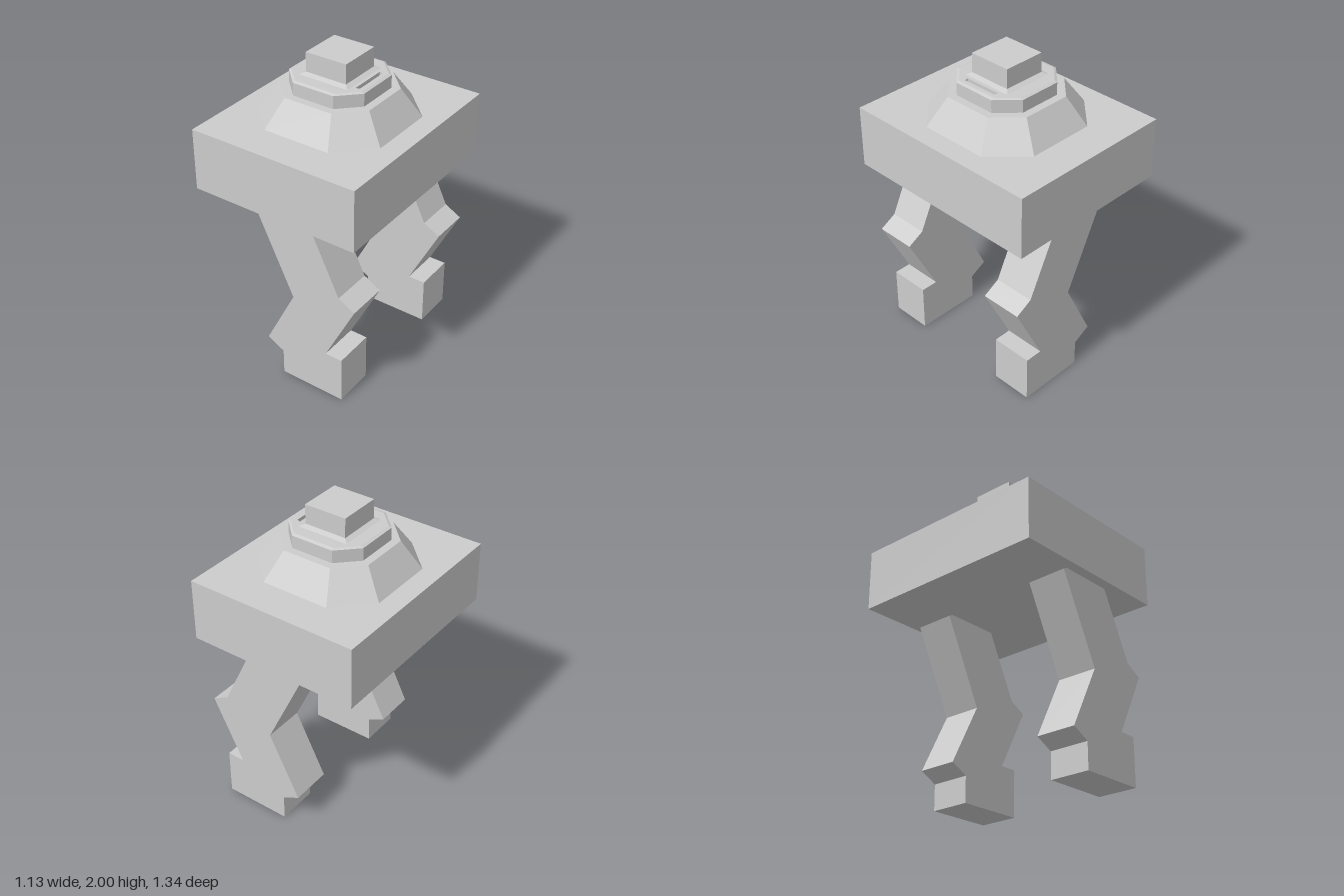
import * as THREE from 'three';

const grey = new THREE.MeshStandardMaterial({ color: 0xcccccc });
grey.name = 'plain grey';

// corners of an octagon: half width h, straight sides of half length c
const octagon = (h, c) => [[h, -c], [h, c], [c, h], [-c, h], [-h, c], [-h, -c], [-c, -h], [c, -h]];

// faceted solid through octagons given as [y, h, c], from the bottom up
function octagonLoft(levels, capped) {
  const p = [];
  const rings = levels.map(([y, h, c]) => octagon(h, c).map(([x, z]) => [x, y, z]));
  for (let i = 0; i < 8; i++) {
    const j = (i + 1) % 8;
    for (let k = 0; k < rings.length - 1; k++) {
      const [a, b, c, d] = [rings[k][i], rings[k][j], rings[k + 1][j], rings[k + 1][i]];
      p.push(...a, ...d, ...b, ...b, ...d, ...c);
    }
    const top = rings[rings.length - 1];
    if (capped) p.push(0, top[i][1], 0, ...top[j], ...top[i]);
  }
  const g = new THREE.BufferGeometry();
  g.setAttribute('position', new THREE.Float32BufferAttribute(p, 3));
  g.computeVertexNormals();
  return g;
}

const toShape = (pts) => new THREE.Shape(pts.map(([x, y]) => new THREE.Vector2(x, y)));

export function createModel() {
  const model = new THREE.Group();
  model.name = 'walker';
  const add = (name, geometry, x = 0, y = 0, z = 0) => {
    const mesh = new THREE.Mesh(geometry, grey);
    mesh.name = name;
    mesh.position.set(x, y, z);
    model.add(mesh);
    return mesh;
  };

  // body slab
  add('body', new THREE.BoxGeometry(1.13, 0.4, 1.336), 0, 1.4, 0);

  // bent legs with feet pointing to +x
  const leg = toShape([
    [-0.005, 0], [0.435, 0], [0.435, 0.31], [0.32, 0.31], [0.525, 0.715], [0.415, 0.775],
    [0.21, 1.2], [-0.15, 1.2], [-0.178, 1.185], [0.085, 0.635], [-0.12, 0.23], [-0.005, 0.17],
  ]);
  const legGeometry = new THREE.ExtrudeGeometry(leg, { depth: 0.266, bevelEnabled: false });
  add('frontLeg', legGeometry, 0, 0, 0.335);
  add('backLeg', legGeometry, 0, 0, -0.601);

  // turret: sloped base, collar with a chamfered rim
  add('turretBase', octagonLoft([[1.6, 0.433, 0.223], [1.775, 0.315, 0.163]], true));
  add('collar', octagonLoft([[1.775, 0.265, 0.14], [1.856, 0.265, 0.14], [1.863, 0.245, 0.14]], false));

  // collar lid with a slot cut on the +x side
  const lid = toShape(octagon(0.245, 0.14));
  lid.holes.push(new THREE.Path([[0.193, -0.123], [0.218, -0.115], [0.218, 0.115], [0.193, 0.123]]
    .map(([x, y]) => new THREE.Vector2(x, y))));
  const lidGeometry = new THREE.ExtrudeGeometry(lid, { depth: 0.025, bevelEnabled: false });
  lidGeometry.rotateX(-Math.PI / 2);
  add('collarLid', lidGeometry, 0, 1.838, 0);
  add('slotFloor', new THREE.BoxGeometry(0.04, 0.01, 0.26), 0.205, 1.833, 0);

  // square cap with a sloped foot
  add('capFoot', octagonLoft([[1.863, 0.17, 0.165], [1.876, 0.14, 0.138]], true));
  add('cap', new THREE.BoxGeometry(0.28, 0.14, 0.28), 0, 1.93, 0);

  return model;
}
